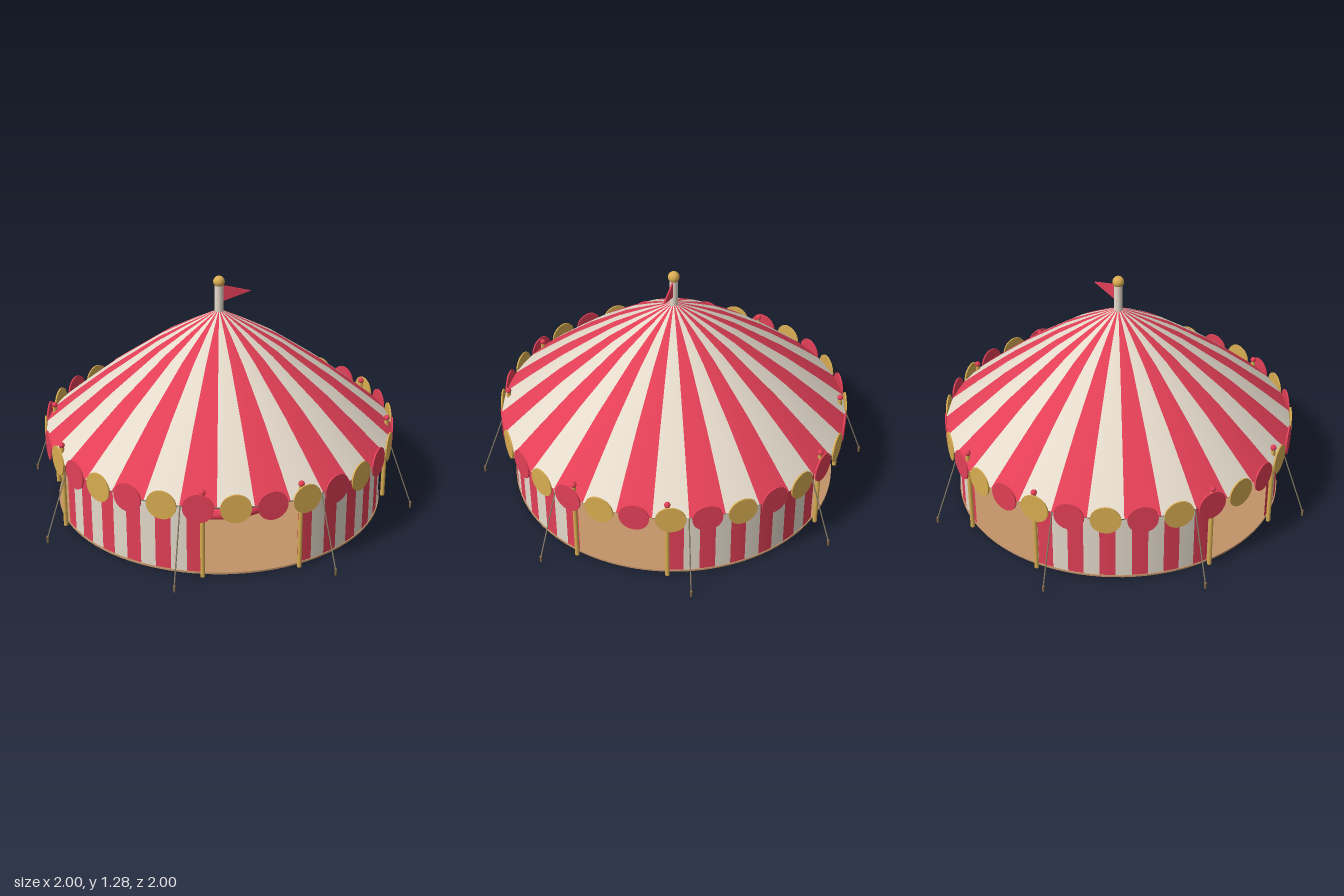
import * as THREE from 'three';

const mat = (name, color, side = THREE.FrontSide) => {
  const m = new THREE.MeshStandardMaterial({ color, side });
  m.name = name;
  return m;
};

export function createModel() {
  const D = THREE.DoubleSide;
  const red = mat('red', 0xe23f56, D);
  const cream = mat('cream', 0xe4dacb, D);
  const gold = mat('gold', 0xd9ad52);
  const navy = mat('navy', 0x24386b);
  const tan = mat('tan', 0xc2946a);
  const rope = mat('rope', 0x8c8068);
  const wood = mat('wood', 0x8a6a48);

  const model = new THREE.Group();
  model.name = 'stripedTent';
  const add = (name, geo, material, x = 0, y = 0, z = 0, parent = model) => {
    const mesh = new THREE.Mesh(geo, material);
    mesh.name = name;
    mesh.position.set(x, y, z);
    parent.add(mesh);
    return mesh;
  };
  const group = (name) => {
    const g = new THREE.Group();
    g.name = name;
    model.add(g);
    return g;
  };
  // point at angle a (from +z towards +x), radius r and height y
  const polar = (a, r, y) => new THREE.Vector3(Math.sin(a) * r, y, Math.cos(a) * r);

  // floor
  add('floor', new THREE.CylinderGeometry(0.9, 0.9, 0.01, 96), tan, 0, 0.008);

  // striped roof with a scalloped valance of discs
  const profile = [[0.95, 0.42], [0.8, 0.548], [0.62, 0.695], [0.34, 0.897], [0.18, 0.992], [0.02, 1.08]]
    .map(([r, y]) => new THREE.Vector2(r, y));
  const roof = group('roof');
  const valance = group('valance');
  const GORES = 32, step = (Math.PI * 2) / GORES;
  const disc = new THREE.CylinderGeometry(0.079, 0.079, 0.008, 28).rotateX(Math.PI / 2);
  for (let i = 0; i < GORES; i++) {
    const even = i % 2 === 0;
    add('roofStripe', new THREE.LatheGeometry(profile, 2, i * step, step), even ? red : cream, 0, 0, 0, roof);
    const a = (i + 0.5) * step, p = polar(a, 0.95, 0.41);
    add('valanceDisc', disc, even ? red : gold, p.x, p.y, p.z, valance).rotation.y = a;
  }
  add('rimCable', new THREE.TorusGeometry(0.935, 0.005, 6, 96).rotateX(Math.PI / 2), rope, 0, 0.41);

  // four curved wall panels, leaving a doorway on each side
  const doorAngle = Math.atan2(0.25, 0.885);
  const STRIPES = 11, stripe = (Math.PI / 2 - 2 * doorAngle) / STRIPES;
  const walls = group('walls');
  for (let q = 0; q < 4; q++) {
    for (let i = 0; i < STRIPES; i++) {
      const start = q * Math.PI / 2 + doorAngle + i * stripe;
      add('wallStripe', new THREE.CylinderGeometry(0.895, 0.895, 0.445, 2, 1, true, start, stripe),
        i % 2 ? cream : red, 0, 0.2275, 0, walls);
    }
  }

  // door posts with red finials
  const posts = group('doorPosts');
  const postGeo = new THREE.CylinderGeometry(0.012, 0.012, 0.475, 12);
  const finialGeo = new THREE.SphereGeometry(0.016, 16, 12);
  // guy ropes and stakes
  const guys = group('guyRopes');
  const stakeGeo = new THREE.CylinderGeometry(0.007, 0.005, 0.036, 8);
  for (let q = 0; q < 4; q++) {
    for (const s of [-1, 1]) {
      const p = polar(q * Math.PI / 2 + s * doorAngle, 0.92, 0);
      add('doorPost', postGeo, gold, p.x, 0.2395, p.z, posts);
      add('postFinial', finialGeo, red, p.x, 0.484, p.z, posts);

      const a = q * Math.PI / 2 + s * Math.PI / 8;
      const line = new THREE.LineCurve3(polar(a, 0.93, 0.43), polar(a, 1.077, 0.028));
      add('guyRope', new THREE.TubeGeometry(line, 1, 0.0035, 6), rope, 0, 0, 0, guys);
      const e = polar(a, 1.077, 0.018);
      add('stake', stakeGeo, wood, e.x, e.y, e.z, guys);
    }
  }

  // ring kerb in two arcs, open towards the left and right
  const ring = group('ringKerb');
  const gap = 0.41, R = 0.35, tube = 0.032;
  for (const turn of [0, Math.PI]) {
    const half = new THREE.Group();
    half.name = 'kerbHalf';
    half.rotation.y = turn;
    ring.add(half);
    const arc = new THREE.TorusGeometry(R, tube, 14, 48, Math.PI - 2 * gap).rotateZ(gap).rotateX(Math.PI / 2);
    add('kerbArc', arc, red, 0, tube, 0, half);
    for (const s of [-1, 1]) {
      add('kerbEnd', new THREE.SphereGeometry(tube, 16, 12), red,
        s * Math.cos(gap) * R, tube, Math.sin(gap) * R, half);
    }
  }

  // central pedestal, mast, bands and ball
  const hub = [[0, 0.001], [0.088, 0.001], [0.088, 0.066], [0.08, 0.077], [0, 0.078]]
    .map(([r, y]) => new THREE.Vector2(r, y));
  const hubGeo = new THREE.LatheGeometry(hub, 32).toNonIndexed();
  hubGeo.computeVertexNormals();
  add('pedestal', hubGeo, navy);
  add('mast', new THREE.CylinderGeometry(0.023, 0.023, 1.225, 24), cream, 0, 0.6125);
  for (const y of [0.105, 0.3, 0.495, 0.69]) {
    add('mastBand', new THREE.CylinderGeometry(0.026, 0.026, 0.032, 24), red, 0, y);
  }
  add('mastBall', new THREE.SphereGeometry(0.031, 24, 16), gold, 0, 1.245);

  // pennant
  const tri = new THREE.Shape([[0.02, 1.222], [0.02, 1.133], [0.172, 1.182]].map(([x, y]) => new THREE.Vector2(x, y)));
  add('pennant', new THREE.ExtrudeGeometry(tri, { depth: 0.008, bevelEnabled: false }), red, 0, 0, -0.004);

  return model;
}
